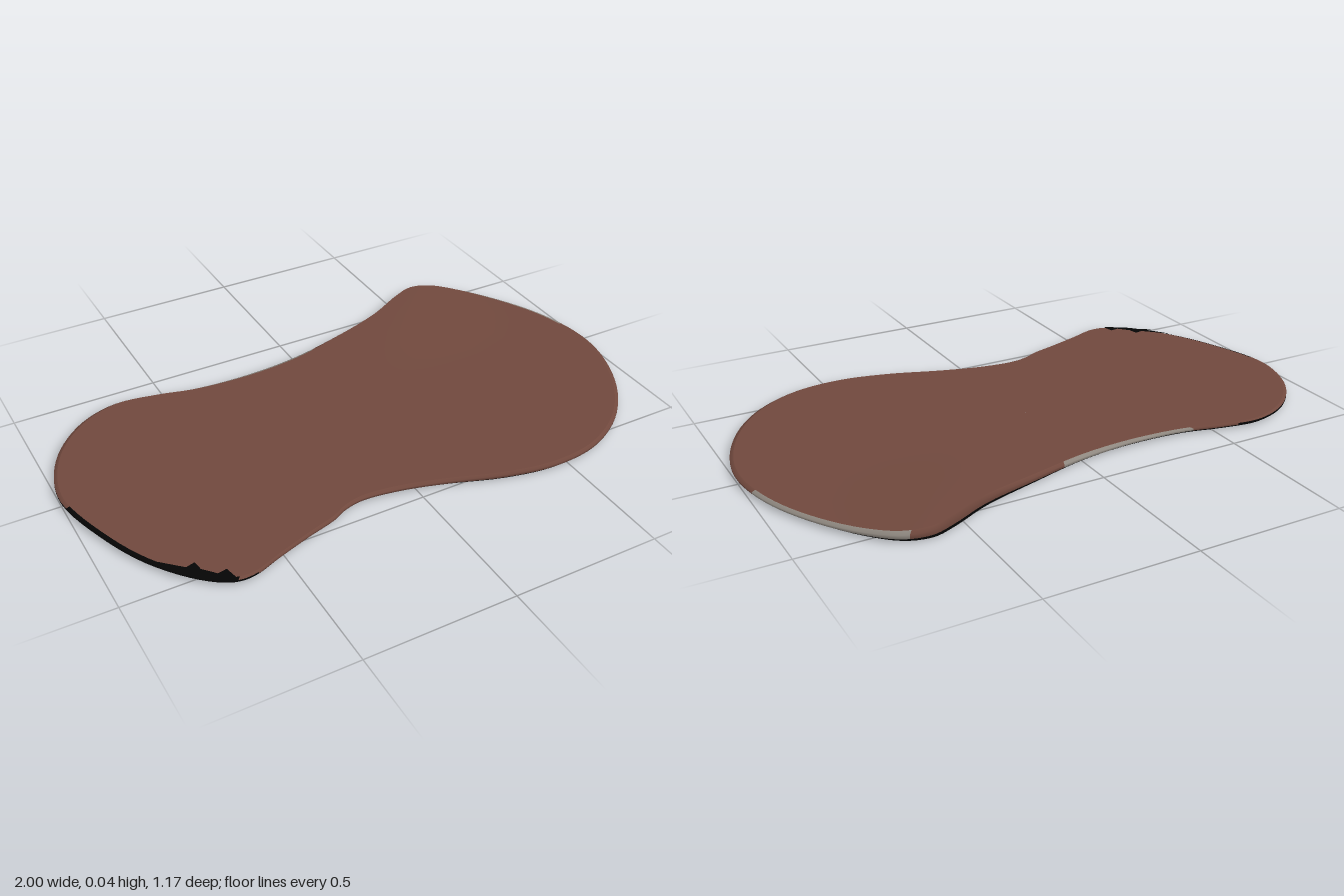
import * as THREE from 'three';

const brown = new THREE.MeshStandardMaterial({ color: 0x70483d });
const black = new THREE.MeshStandardMaterial({ color: 0x050505 });
const grey = new THREE.MeshStandardMaterial({ color: 0x8f8880 });
brown.name = 'brown leather';
black.name = 'black underside';
grey.name = 'grey edge';
const materials = [brown, black, grey];
const BROWN = 0, BLACK = 1, GREY = 2;

// Plan outline as x, z pairs, clockwise from above
const plan = [
  [-1, 0], [-0.98, -0.13], [-0.915, -0.26], [-0.8, -0.37], [-0.67, -0.417], [-0.53, -0.4],
  [-0.4, -0.37], [-0.2, -0.36], [0, -0.38], [0.2, -0.43], [0.4, -0.49], [0.54, -0.56],
  [0.62, -0.588], [0.7, -0.57], [0.79, -0.49], [0.9, -0.33], [0.97, -0.17], [1, 0],
  [0.98, 0.15], [0.9, 0.33], [0.78, 0.47], [0.62, 0.56], [0.45, 0.58], [0.28, 0.55],
  [0.1, 0.49], [-0.05, 0.45], [-0.18, 0.435], [-0.25, 0.45], [-0.3, 0.475], [-0.4, 0.505],
  [-0.52, 0.545], [-0.62, 0.58], [-0.68, 0.575], [-0.76, 0.52], [-0.87, 0.38], [-0.95, 0.2],
];
const N = 180;
const outline = new THREE.CatmullRomCurve3(
  plan.map(([x, z]) => new THREE.Vector3(x, 0, z)), true).getPoints(N).slice(0, N);

// Heights of the sheet: the top lifts towards one back corner, the base sags slightly
const topY = (x, z) => {
  const width = x < 0.57 ? 0.34 : 0.2;
  return 0.023 + 0.019 * Math.exp(-(((x - 0.57) / width) ** 2)) * THREE.MathUtils.smoothstep(-z, 0.02, 0.55);
};
const baseY = (x) => 0.008 - 0.007 * Math.exp(-(((x - 0.3) / 0.4) ** 2));

// One ring: plan scaled and inset, placed between base (0) and top (1)
const ring = (scale, inset, level) => outline.map((p) => {
  const k = scale * (1 - inset / p.length());
  const x = p.x * k, z = p.z * k;
  return [x, THREE.MathUtils.lerp(baseY(x), topY(x, z), level), z];
});

// Skin rings in order base centre -> rim -> top centre, with a colour for each quad
function skin(name, rings, colourAt) {
  const buckets = [[], [], []];
  for (let r = 0; r < rings.length - 1; r++) {
    for (let i = 0; i < N; i++) {
      const j = (i + 1) % N;
      const a = r * N + i, b = r * N + j, c = a + N, d = b + N;
      buckets[colourAt(outline[i].x, outline[i].z, r)].push(a, c, d, a, d, b);
    }
  }
  const geometry = new THREE.BufferGeometry();
  geometry.setAttribute('position', new THREE.Float32BufferAttribute(rings.flat(2), 3));
  geometry.setIndex(buckets.flat());
  let start = 0;
  buckets.forEach((b, m) => {
    if (b.length) geometry.addGroup(start, b.length, m);
    start += b.length;
  });
  geometry.computeVertexNormals();
  const mesh = new THREE.Mesh(geometry, materials);
  mesh.name = name;
  return mesh;
}

const isGrey = (x, z) => (x > 0.68 && z < -0.12) || (z < -0.3 && x > -0.45 && x < 0.08);
const isDarkEdge = (x, z) => x < -0.66 && z > 0.07;

export function createModel() {
  const group = new THREE.Group();
  group.name = 'flatSole';

  const spread = [0.001, 0.15, 0.3, 0.45, 0.6, 0.75, 0.88];
  group.add(skin('underside',
    [...spread.map((s) => ring(s, 0, 0)), ring(1, 0.008, 0)], () => BLACK));

  // Rim: dark foot, coloured band and rounded shoulder
  group.add(skin('rim', [ring(1, 0.008, 0), ring(1, 0, 0.3), ring(1, 0, 0.72), ring(1, 0.012, 1)],
    (x, z, r) => {
      if (r === 0 || isDarkEdge(x, z)) return BLACK;
      if (isGrey(x, z)) return GREY;
      return r === 1 && x < -0.6 ? BLACK : BROWN;
    }));

  group.add(skin('topSurface',
    [ring(1, 0.012, 1), ring(0.96, 0, 1), ...spread.slice().reverse().map((s) => ring(s, 0, 1))],
    () => BROWN));

  // Worn dark corner: a ragged face lying just above the top surface
  const patch = new THREE.Shape([
    [-0.865, 0.38], [-0.85, 0.42], [-0.83, 0.46], [-0.79, 0.465], [-0.75, 0.455], [-0.745, 0.49],
    [-0.755, 0.515], [-0.71, 0.53], [-0.68, 0.525], [-0.67, 0.57], [-0.69, 0.562], [-0.755, 0.515 + 0.002],
    [-0.8, 0.465 + 0.002],
  ].map(([x, z]) => new THREE.Vector2(x, -z)).filter((_, i) => i !== 6));
  const worn = new THREE.Mesh(new THREE.ShapeGeometry(patch).rotateX(-Math.PI / 2), black);
  worn.position.y = 0.0242;
  worn.name = 'wornCorner';
  group.add(worn);
  return group;
}
